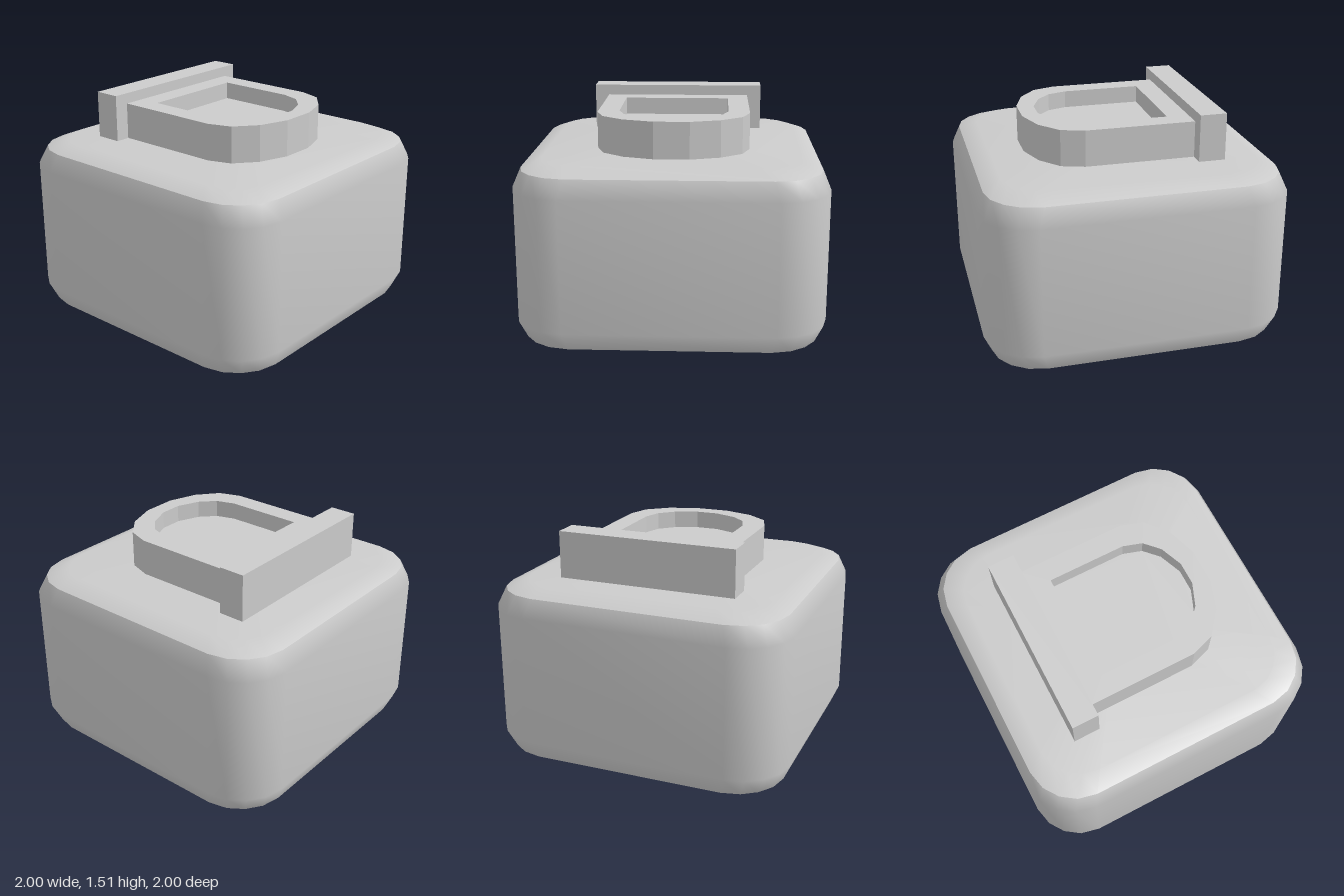
import * as THREE from 'three';

const material = new THREE.MeshStandardMaterial({ color: 0xcccccc, side: THREE.DoubleSide });

// One quarter of the body's rounded-square outline, as [x, z]
const CORNER = [[1, 0.67], [0.97, 0.8], [0.9, 0.9], [0.8, 0.97], [0.67, 1]];

function outline() {
  const points = [];
  for (let q = 0; q < 4; q++) {
    for (let [x, z] of CORNER) {
      for (let k = 0; k < q; k++) [x, z] = [-z, x];
      points.push([x, z]);
    }
  }
  return points;
}

// Smooth surface through rings of [scale, y], listed bottom to top;
// a scale of 0 closes the surface at its centre.
function loft(rings) {
  const loop = outline();
  const n = loop.length;
  const positions = [];
  const index = [];
  const starts = rings.map(([s, y]) => {
    const start = positions.length / 3;
    if (s === 0) positions.push(0, y, 0);
    else for (const [x, z] of loop) positions.push(x * s, y, z * s);
    return start;
  });
  for (let r = 0; r < rings.length - 1; r++) {
    const at = (ring, i) => starts[ring] + (rings[ring][0] === 0 ? 0 : i % n);
    for (let i = 0; i < n; i++) {
      const a = at(r, i), b = at(r, i + 1), c = at(r + 1, i + 1), d = at(r + 1, i);
      if (a !== b) index.push(a, c, b);
      if (c !== d) index.push(a, d, c);
    }
  }
  const geometry = new THREE.BufferGeometry();
  geometry.setAttribute('position', new THREE.Float32BufferAttribute(positions, 3));
  geometry.setIndex(index);
  geometry.computeVertexNormals();
  return geometry;
}

// Mirrored outline from its right half, in x and z
function dShape(half) {
  const left = half.map(([x, z]) => [-x, z]).reverse();
  return [...half, ...left].map(([x, z]) => new THREE.Vector2(x, z));
}

// Upright prism hanging down from height top
function prism(shape, top, height) {
  return new THREE.ExtrudeGeometry(shape, { depth: height, bevelEnabled: false })
    .rotateX(Math.PI / 2)
    .translate(0, top, 0);
}

export function createModel() {
  const model = new THREE.Group();
  const add = (name, geometry, parent = model) => {
    const mesh = new THREE.Mesh(geometry, material);
    mesh.name = name;
    parent.add(mesh);
  };

  // Rounded block, with sharp edges between walls, top and underside
  const body = new THREE.Group();
  body.name = 'body';
  model.add(body);
  add('bodyBottom', loft([[0, 0], [0.83, 0], [0.95, 0.05]]), body);
  add('bodyWalls', loft([[0.95, 0.05], [1, 0.17], [1, 1.03], [0.95, 1.15]]), body);
  add('bodyTop', loft([[0.95, 1.15], [0.83, 1.2], [0, 1.2]]), body);

  // Raised D-shaped rim with a shallow recess
  const outer = dShape([[0.5, -0.44], [0.5, 0.28], [0.45, 0.43], [0.31, 0.545], [0.115, 0.61]]);
  const inner = dShape([[0.36, -0.295], [0.36, 0.225], [0.32, 0.35], [0.225, 0.44], [0.075, 0.5]]);
  const rim = new THREE.Shape(outer);
  rim.holes.push(new THREE.Path(inner));
  add('rim', prism(rim, 1.44, 0.24));
  add('recessFloor', prism(new THREE.Shape(inner), 1.325, 0.125));

  // Straight bar across the back of the rim
  add('backBar', new THREE.BoxGeometry(1.195, 0.31, 0.175).translate(0, 1.355, -0.5275));

  return model;
}
